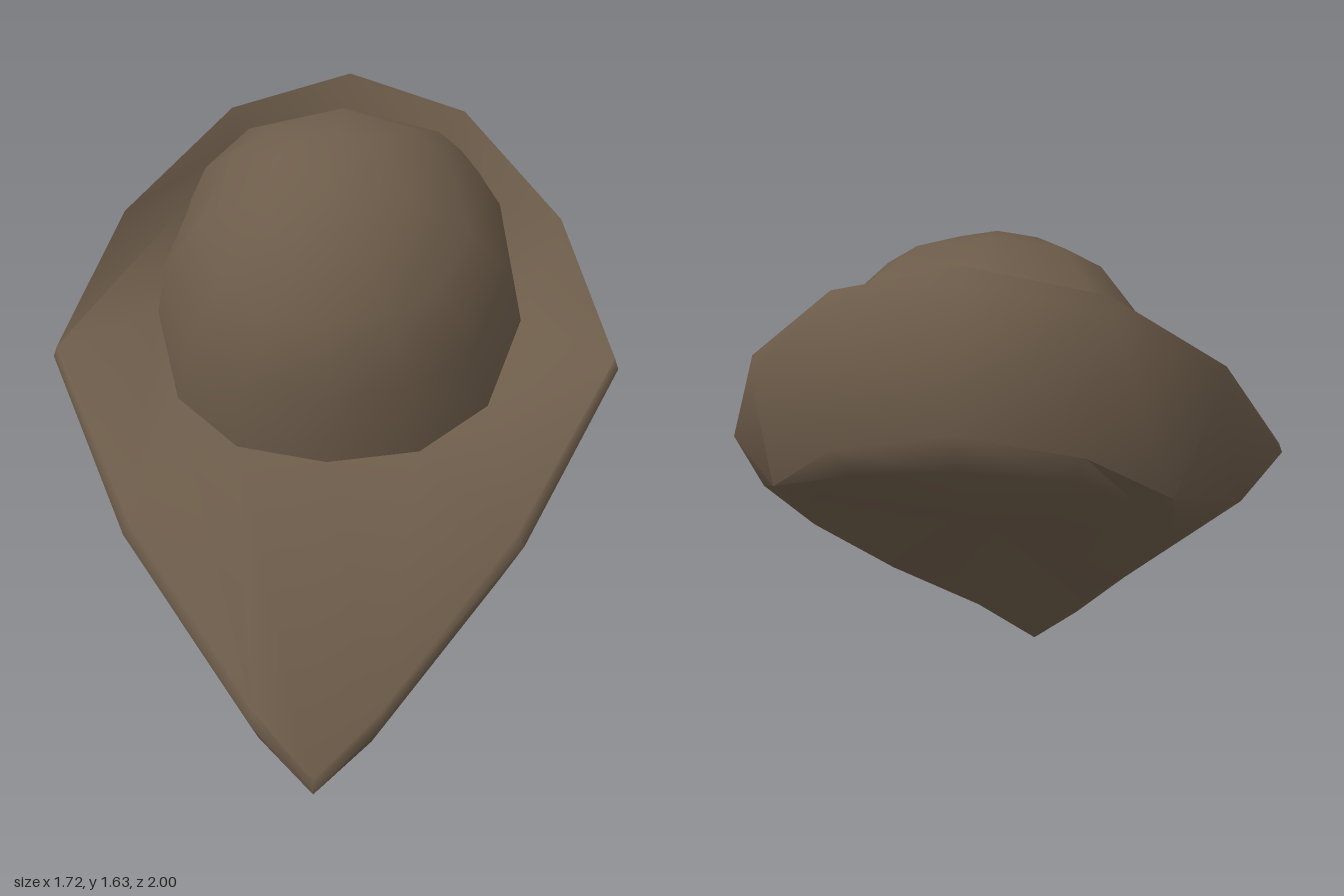
import * as THREE from 'three';
import { toCreasedNormals } from 'three/addons/utils/BufferGeometryUtils.js';

// Half cross-sections running from the back, round one side, to the front tip
const seam = [[0, 1.45, -0.76], [0.37, 1.41, -0.64], [0.5, 1.27, -0.5], [0.57, 1.0, -0.17], [0.47, 0.84, 0.14], [0.27, 0.77, 0.33], [0, 0.76, 0.4]];
const rimTop = [[0, 1.62, -0.79], [0.38, 1.53, -0.67], [0.69, 1.28, -0.33], [0.85, 0.97, 0.06], [0.56, 0.63, 0.57], [0.18, 0.22, 0.9], [0, 0.06, 1]];
const rimEdge = [[0, 1.58, -0.84], [0.39, 1.49, -0.72], [0.69, 1.24, -0.37], [0.86, 0.94, 0.07], [0.58, 0.59, 0.57], [0.19, 0.18, 0.9], [0, 0, 0.98]];
const wallFoot = [[0, 1.21, -1], [0.34, 1.14, -0.91], [0.56, 0.97, -0.65], [0.74, 0.81, -0.04], [0.51, 0.49, 0.59], [0.16, 0.13, 0.9], [0, 0, 0.98]];
const base = [[0, 1.1, -0.94], [0.29, 1.06, -0.85], [0.46, 0.93, -0.58], [0.55, 0.73, -0.18], [0.38, 0.48, 0.22], [0.24, 0.32, 0.53], [0, 0.42, 0.5]];

// Mirror a half section into a closed loop
const closeLoop = half => [...half, ...half.slice(1, -1).reverse().map(([x, y, z]) => [-x, y, z])];
const pointRing = p => Array(12).fill(p);

// Skin a series of closed loops, with optional points closing either end
function loft(rings, startsAtPoint, endsAtPoint) {
  const n = rings[0].length, idx = [];
  for (let i = 0; i < rings.length - 1; i++) {
    for (let j = 0; j < n; j++) {
      const a = i * n + j, b = i * n + (j + 1) % n;
      if (!(startsAtPoint && i === 0)) idx.push(a, b, a + n);
      if (!(endsAtPoint && i === rings.length - 2)) idx.push(b, b + n, a + n);
    }
  }
  const g = new THREE.BufferGeometry();
  g.setAttribute('position', new THREE.Float32BufferAttribute(rings.flat(2), 3));
  g.setIndex(idx);
  return toCreasedNormals(g, 1.3);
}

// Crown loops: swing from the dome's pole down an ellipsoid, easing out to the seam
const centre = new THREE.Vector3(0, 1, -0.2);
const radii = new THREE.Vector3(0.575, 0.635, 0.635);
const pole = new THREE.Vector3(0, 0.84, 0.54).normalize();
function crownRing(t) {
  return closeLoop(seam.map(p => {
    const dir = new THREE.Vector3(...p).sub(centre).divide(radii);
    const reach = THREE.MathUtils.lerp(1, dir.length(), t ** 4);
    const axis = pole.clone().cross(dir).normalize();
    return pole.clone().applyAxisAngle(axis, t * pole.angleTo(dir))
      .multiplyScalar(reach).multiply(radii).add(centre).toArray();
  }));
}

export function createModel() {
  const hat = new THREE.Group();
  hat.name = 'hat';
  const felt = new THREE.MeshStandardMaterial({ color: 0x6d5c4a });
  felt.name = 'brown felt';
  const add = (name, geometry) => {
    const mesh = new THREE.Mesh(geometry, felt);
    mesh.name = name;
    hat.add(mesh);
  };

  // Crown: rounded dome leaning forward and reaching back to the rim
  const crownTop = pole.clone().multiply(radii).add(centre).toArray();
  add('crown', loft([pointRing(crownTop), ...[0.25, 0.5, 0.75, 1].map(crownRing)], true, false));

  // Brim: shallow dish round the crown, turned-up back wall, hollow under the tip
  const loops = [rimTop, rimEdge, wallFoot, base].map(closeLoop);
  add('brim', loft([crownRing(1), ...loops, pointRing([0, 0.79, -0.28])], false, true));

  return hat;
}
